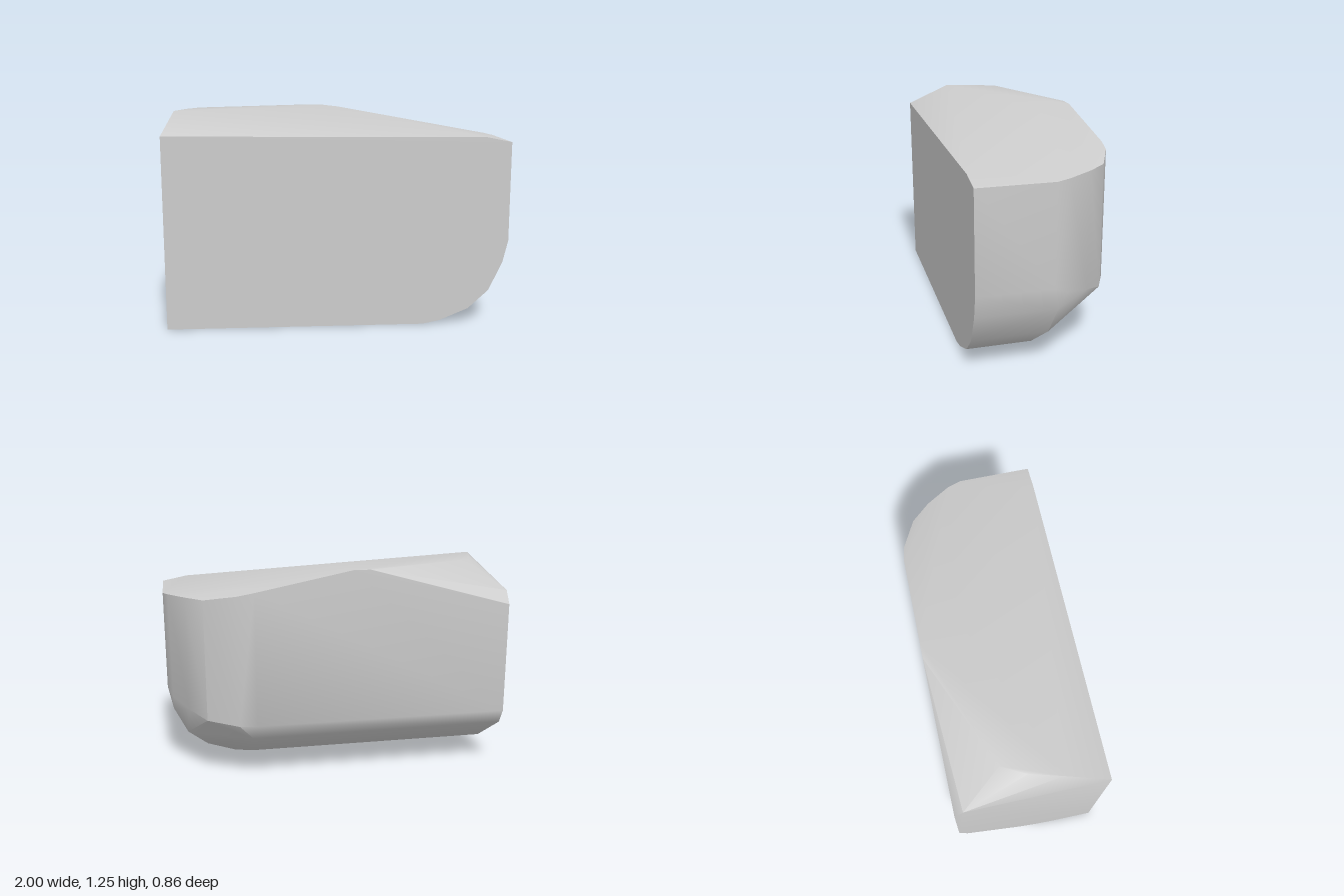
import * as THREE from 'three';
import { ConvexGeometry } from 'three/addons/geometries/ConvexGeometry.js';
import { toCreasedNormals } from 'three/addons/utils/BufferGeometryUtils.js';

const FRONT = 0.43, BACK = -0.43, END = -1;

export function createModel() {
  const group = new THREE.Group();
  group.name = 'roundedBlock';
  const stone = new THREE.MeshStandardMaterial({ color: 0xcccccc });
  stone.name = 'pale grey';

  const points = [];
  const add = (x, y, z) => points.push(new THREE.Vector3(x, y, z));

  // Lower right curve [x, y, how far back it runs], starting on the flat front
  [[0.5, 0, 0.18], [0.6, 0.02, 0.1], [0.77, 0.09, 0.06], [0.89, 0.2, 0],
    [0.97, 0.37, -0.03], [1, 0.5, 0]].forEach(([x, y, z]) => {
    add(x, y, FRONT);
    add(x, y, z);
  });

  // Lower back curve [z, y, how far right it runs], starting on the flat end
  [[0.43, 0, 0.5], [0.18, 0, 0.5], [0.07, 0.02, 0.5], [-0.05, 0.065, 0.5],
    [-0.38, 0.27, 0.52], [BACK, 0.36, 0.5]].forEach(([z, y, x]) => {
    add(END, y, z);
    add(x, y, z);
  });

  // Upright rounded back corner [x, z, lower y, upper y]
  [[0.5, BACK, 0.36, 1.14], [0.6, -0.415, 0.36, 1.12], [0.78, -0.33, 0.38, 1.09],
    [0.88, -0.22, 0.42, 1.09], [0.97, -0.08, 0.46, 1.085], [1, 0, 0.5, 1.08],
    [1, FRONT, 0.5, 1.08]].forEach(([x, z, low, high]) => {
    add(x, low, z);
    add(x, high, z);
  });

  // Shoulder edges of the front and the flat end
  add(END, 1.125, FRONT);
  add(0.85, 1.11, FRONT);
  add(END, 1.095, -0.38);
  add(END, 1.02, BACK);

  // Flat crown
  [[-0.95, 0.17], [-0.9, -0.01], [-0.83, -0.15], [-0.16, BACK], [-0.06, BACK], [0.04, -0.2]]
    .forEach(([x, z]) => add(x, 1.25, z));

  const body = new THREE.Mesh(toCreasedNormals(new ConvexGeometry(points), 0.6), stone);
  body.name = 'blockBody';
  group.add(body);
  return group;
}
